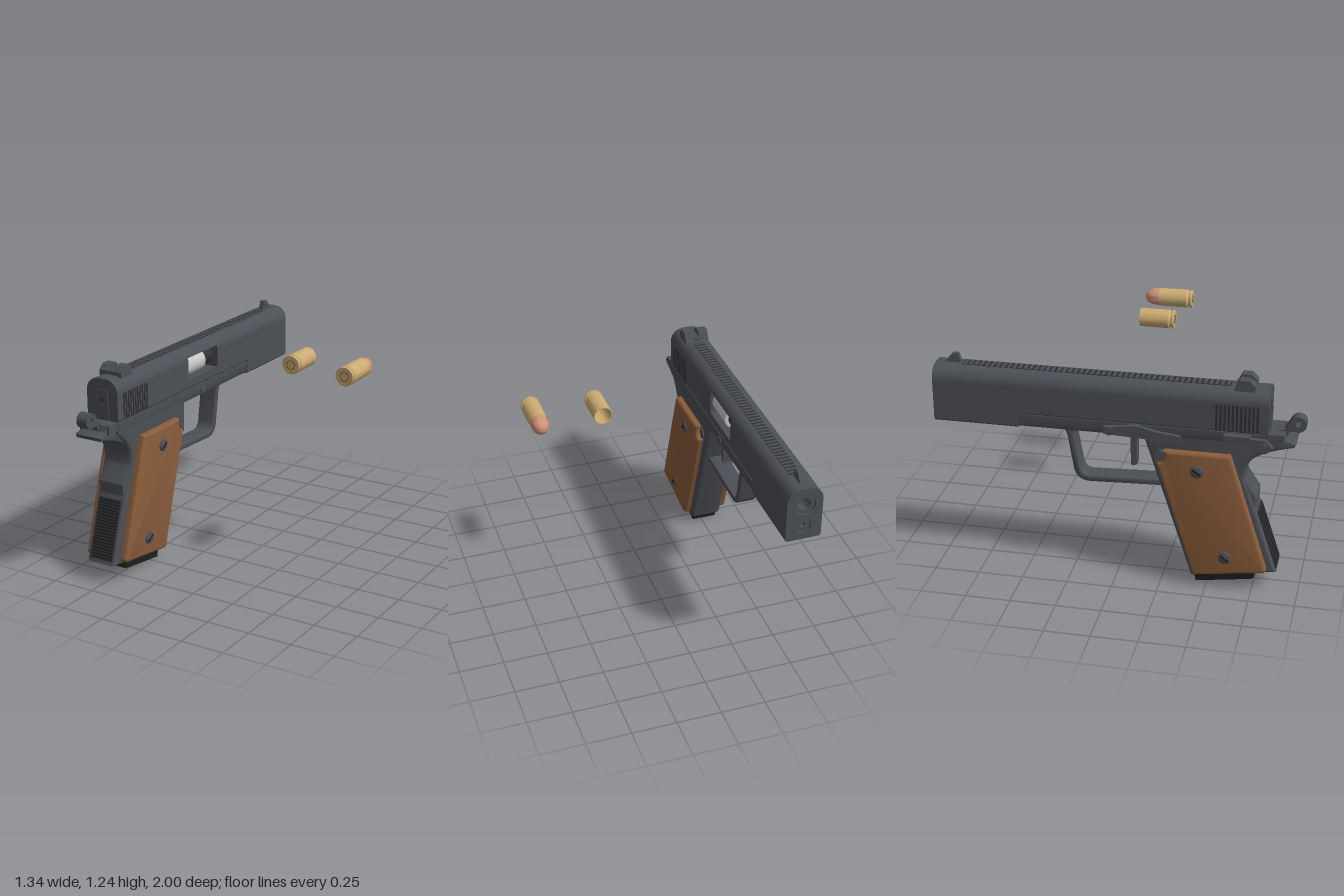
import * as THREE from 'three';
import { toCreasedNormals } from 'three/addons/utils/BufferGeometryUtils.js';

const mat = (name, color, side = THREE.FrontSide) => {
  const m = new THREE.MeshStandardMaterial({ color, side });
  m.name = name;
  return m;
};

export function createModel() {
  const steel = mat('gunmetal', 0x4c4f55);
  const dark = mat('dark steel', 0x303235);
  const black = mat('black', 0x1d1d1e);
  const wood = mat('walnut', 0x8a5d3b);
  const silver = mat('bare steel', 0xc6c6c6);
  const brass = mat('brass', 0xcbab72, THREE.DoubleSide);
  const copper = mat('copper', 0xcf9376);

  const root = new THREE.Group();
  const pistol = new THREE.Group();
  pistol.name = 'pistol';
  pistol.position.x = -0.52;
  root.add(pistol);

  const add = (name, geo, material, x = 0, y = 0, z = 0, parent = pistol) => {
    const mesh = new THREE.Mesh(geo, material);
    mesh.name = name;
    mesh.position.set(x, y, z);
    parent.add(mesh);
    return mesh;
  };
  const box = (name, w, h, d, material, x, y, z) =>
    add(name, new THREE.BoxGeometry(w, h, d), material, x, y, z);
  const poly = pts => new THREE.Shape(pts.map(p => new THREE.Vector2(p[0], p[1])));

  // Side profile in (z, y), extruded across x and centred on x = 0
  const profile = (shape, width, bevel = 0) => {
    const g = new THREE.ExtrudeGeometry(shape, {
      depth: width - 2 * bevel, bevelEnabled: bevel > 0, bevelSize: bevel,
      bevelThickness: bevel, bevelOffset: -bevel, bevelSegments: 4, curveSegments: 16,
    });
    g.translate(0, 0, bevel - width / 2).rotateY(-Math.PI / 2);
    return toCreasedNormals(g, 0.6);
  };
  // Cross-section in (x, y), extruded from z0 to z1
  const section = (shape, z0, z1) => {
    const g = new THREE.ExtrudeGeometry(shape, { depth: z1 - z0, bevelEnabled: false, curveSegments: 16 });
    return toCreasedNormals(g.translate(0, 0, z0), 0.5);
  };
  const circle = (shape, y, r) => {
    const hole = new THREE.Path();
    hole.absarc(0, y, r, 0, Math.PI * 2, true);
    shape.holes.push(hole);
    return shape;
  };
  const ring = (r, hole) => {
    const s = new THREE.Shape();
    s.absarc(0, 0, r, 0, Math.PI * 2, false);
    return circle(s, 0, hole);
  };
  const slideShape = (bottom, port) => {
    const s = new THREE.Shape();
    s.moveTo(-0.09, bottom);
    s.lineTo(0.09, bottom);
    s.lineTo(0.1, bottom + 0.01);
    if (port) {
      s.lineTo(0.1, 0.98);
      s.lineTo(0.0, 0.98);
      s.lineTo(0.0, 1.11);
    }
    s.absarc(0.025, 1.085, 0.075, port ? 0.34 : 0, Math.PI / 2, false);
    s.absarc(-0.025, 1.085, 0.075, Math.PI / 2, Math.PI, false);
    s.lineTo(-0.1, bottom + 0.01);
    return s;
  };

  // Slide, with an ejection port and bored nose
  add('slideRear', section(slideShape(0.925), 0.12, 0.81), steel);
  add('slidePort', section(slideShape(0.925, true), -0.19, 0.12), steel);
  add('slideMiddle', section(slideShape(0.925), -0.53, -0.19), steel);
  add('slideNose', section(slideShape(0.848), -0.88, -0.53), steel);
  add('slideMuzzle', section(circle(circle(slideShape(0.848), 1.06, 0.06), 0.93, 0.042), -1, -0.88), steel);
  add('barrelBushing', section(ring(0.058, 0.036), -0.99, -0.88), steel, 0, 1.06);
  add('springPlug', section(ring(0.04, 0.014), -0.99, -0.88), steel, 0, 0.93);
  for (const [y, r] of [[1.06, 0.04], [0.93, 0.02]]) {
    add('boreEnd', new THREE.CircleGeometry(r, 24).rotateY(Math.PI), black, 0, y, -0.885);
  }
  const rod = (r, len) => new THREE.CylinderGeometry(r, r, len, 32).rotateX(Math.PI / 2);
  add('chamber', rod(0.064, 0.2), silver, 0.024, 1.045, 0.02);
  add('barrel', rod(0.052, 0.11), dark, 0.015, 1.045, -0.135);

  // Grooved top rib and side serrations
  box('topRib', 0.066, 0.006, 1.45, dark, 0, 1.159, -0.125);
  for (let i = 0; i < 48; i++) box('ribRidge', 0.066, 0.004, 0.015, steel, 0, 1.1615, -0.835 + i * 0.0302);
  for (const side of [-1, 1]) {
    for (let i = 0; i < 11; i++) {
      box('slideSerration', 0.004, 0.145, 0.012, dark, side * 0.1, 1.008, 0.537 + i * 0.0215);
    }
  }
  box('firingPinPlate', 0.075, 0.17, 0.006, steel, 0, 1.015, 0.812);
  add('firingPin', new THREE.CylinderGeometry(0.014, 0.014, 0.004, 4).rotateX(Math.PI / 2), dark, 0, 1.045, 0.816);

  // Sights
  add('frontSight', profile(poly([[-0.96, 1.15], [-0.86, 1.15], [-0.875, 1.21], [-0.91, 1.21]]), 0.026), steel);
  const rear = poly([[0.62, 1.15], [0.73, 1.15], [0.73, 1.18], [0.7, 1.21], [0.65, 1.21]]);
  for (const side of [-1, 1]) add('rearSight', profile(rear, 0.056), steel, side * 0.043);
  box('rearSightBase', 0.04, 0.03, 0.1, steel, 0, 1.165, 0.675);

  // Frame rail and grip frame
  add('frameRail', section(poly([[-0.07, 0.848], [0.07, 0.848], [0.09, 0.856], [0.098, 0.875],
    [0.098, 0.926], [-0.098, 0.926], [-0.098, 0.875], [-0.09, 0.856]]), -0.53, 0.81), steel);
  const grip = poly([[0.415, 0.04], [0.88, 0.11], [0.755, 0.49], [0.69, 0.66], [0.7, 0.73], [0.74, 0.79],
    [0.8, 0.85], [0.8, 0.92], [0.13, 0.92], [0.155, 0.84]]);
  add('gripFrame', profile(grip, 0.192, 0.022), steel);

  // Grip safety with its rear tang
  const tang = new THREE.Shape();
  tang.moveTo(0.62, 0.92);
  tang.lineTo(0.89, 0.93);
  tang.lineTo(0.9, 0.895);
  tang.lineTo(0.955, 0.88);
  tang.lineTo(0.945, 0.858);
  tang.quadraticCurveTo(0.67, 0.8, 0.68, 0.67);
  tang.lineTo(0.76, 0.55);
  tang.lineTo(0.757, 0.48);
  tang.lineTo(0.62, 0.5);
  add('gripSafety', profile(tang, 0.166, 0.01), steel);
  box('tangShoulder', 0.19, 0.05, 0.1, steel, 0, 0.905, 0.84);

  // Checkered rear panel, lying along the backstrap
  const panel = new THREE.Group();
  panel.name = 'rearPanel';
  panel.position.set(0, 0.295, 0.822);
  panel.rotation.x = -0.318;
  pistol.add(panel);
  add('rearPanelPlate', new THREE.BoxGeometry(0.145, 0.345, 0.009), dark, 0, 0, 0, panel);
  for (let i = 0; i < 20; i++) {
    add('rearPanelRidge', new THREE.BoxGeometry(0.135, 0.007, 0.004), black, 0, -0.16 + i * 0.0168, 0.004, panel);
  }

  // Magazine base
  add('magazineBase', profile(poly([[0.44, 0], [0.745, 0.045], [0.76, 0.06], [0.75, 0.1], [0.43, 0.05]]), 0.145), black);

  // Wooden grip panels and slotted screws
  const wp = new THREE.Shape();
  wp.moveTo(0.45, 0.068);
  wp.lineTo(0.81, 0.118);
  wp.quadraticCurveTo(0.835, 0.125, 0.825, 0.15);
  wp.lineTo(0.62, 0.8);
  wp.lineTo(0.265, 0.8);
  wp.quadraticCurveTo(0.28, 0.74, 0.23, 0.725);
  wp.lineTo(0.425, 0.085);
  wp.quadraticCurveTo(0.43, 0.066, 0.45, 0.068);
  const screw = new THREE.LatheGeometry([[0.036, 0], [0.036, 0.012], [0.026, 0.02], [0, 0.022]]
    .map(p => new THREE.Vector2(...p)), 24).rotateZ(-Math.PI / 2);
  for (const side of [-1, 1]) {
    add('gripPanel', profile(wp, 0.055, 0.018), wood, side * 0.108);
    for (const [z, y] of [[0.445, 0.697], [0.605, 0.195]]) {
      const s = add('gripScrew', screw, steel, side * 0.126, y, z);
      if (side < 0) s.rotation.y = Math.PI;
      box('screwSlot', 0.004, 0.01, 0.05, black, side * 0.147, y, z).rotation.x = 0.6;
    }
  }

  // Trigger guard and trigger
  const guard = new THREE.Shape();
  guard.moveTo(0.27, 0.557);
  guard.lineTo(-0.15, 0.541);
  guard.quadraticCurveTo(-0.225, 0.54, -0.24, 0.61);
  guard.lineTo(-0.272, 0.8);
  guard.quadraticCurveTo(-0.28, 0.835, -0.3, 0.86);
  guard.lineTo(-0.22, 0.86);
  guard.quadraticCurveTo(-0.243, 0.83, -0.238, 0.8);
  guard.lineTo(-0.207, 0.62);
  guard.quadraticCurveTo(-0.195, 0.573, -0.15, 0.573);
  guard.lineTo(0.27, 0.59);
  add('triggerGuard', profile(guard, 0.11, 0.006), steel);
  const trigger = new THREE.Shape();
  trigger.moveTo(0.105, 0.86);
  trigger.quadraticCurveTo(0.098, 0.75, 0.103, 0.655);
  trigger.lineTo(0.072, 0.648);
  trigger.quadraticCurveTo(0.066, 0.75, 0.07, 0.86);
  add('trigger', profile(trigger, 0.06), steel);

  // Hammer
  const spur = new THREE.Shape();
  spur.moveTo(0.8, 0.93);
  spur.lineTo(0.84, 0.87);
  spur.lineTo(0.9, 0.9);
  spur.lineTo(0.915, 0.93);
  spur.absarc(0.957, 0.97, 0.043, -1.9, 2.5, false);
  spur.lineTo(0.885, 0.935);
  const eye = new THREE.Path();
  eye.absarc(0.957, 0.972, 0.015, 0, Math.PI * 2, true);
  spur.holes.push(eye);
  add('hammer', profile(spur, 0.066), steel);

  // Levers on the right side, pins on the left
  add('slideStop', profile(poly([[-0.06, 0.865], [0.16, 0.855], [0.24, 0.83], [0.35, 0.85], [0.35, 0.885],
    [0.22, 0.9], [0.12, 0.925], [-0.06, 0.905]]), 0.026), steel, -0.108);
  add('safetyLever', profile(poly([[0.58, 0.875], [0.72, 0.86], [0.8, 0.83], [0.84, 0.86], [0.8, 0.905],
    [0.58, 0.91]]), 0.028), steel, -0.11);
  box('safetyPad', 0.04, 0.025, 0.14, steel, -0.12, 0.91, 0.65);
  const pin = (r, len) => new THREE.CylinderGeometry(r, r, len, 20).rotateZ(Math.PI / 2);
  add('slideStopPin', pin(0.024, 0.23), steel, -0.012, 0.885, -0.03);
  add('safetyPin', pin(0.018, 0.235), steel, -0.02, 0.875, 0.79);
  add('magazineButton', pin(0.032, 0.225), steel, -0.008, 0.76, 0.25);

  // Cartridges: lathed about y, then turned so the tip points to -z
  const lathe = pts => toCreasedNormals(new THREE.LatheGeometry(
    pts.map(p => new THREE.Vector2(p[0], p[1])), 32).rotateX(-Math.PI / 2), 0.6);
  const round = (name, x, z, loaded) => {
    const g = new THREE.Group();
    g.name = name;
    g.position.set(x, 1.185, z);
    root.add(g);
    const pts = [[0, 0], [0.05, 0], [0.053, 0.004], [0.053, 0.012], [0.044, 0.016], [0.044, 0.023], [0.053, 0.032], [0.052, 0.197]];
    if (!loaded) pts.push([0.047, 0.197], [0.047, 0.03], [0, 0.03]);
    add('case', lathe(pts), brass, 0, 0, 0, g);
    add('primer', new THREE.TorusGeometry(0.024, 0.0015, 6, 32), dark, 0, 0, 0, g);
    if (loaded) {
      const tip = [[0.049, 0.19]];
      for (let i = 0; i <= 10; i++) {
        const a = i / 10 * Math.PI / 2;
        tip.push([0.049 * Math.cos(a), 0.215 + 0.068 * Math.sin(a)]);
      }
      add('bullet', lathe(tip), copper, 0, 0, 0, g);
    }
  };
  round('emptyCase', 0.265, 0.156, false);
  round('cartridge', 0.615, 0.2, true);

  return root;
}
